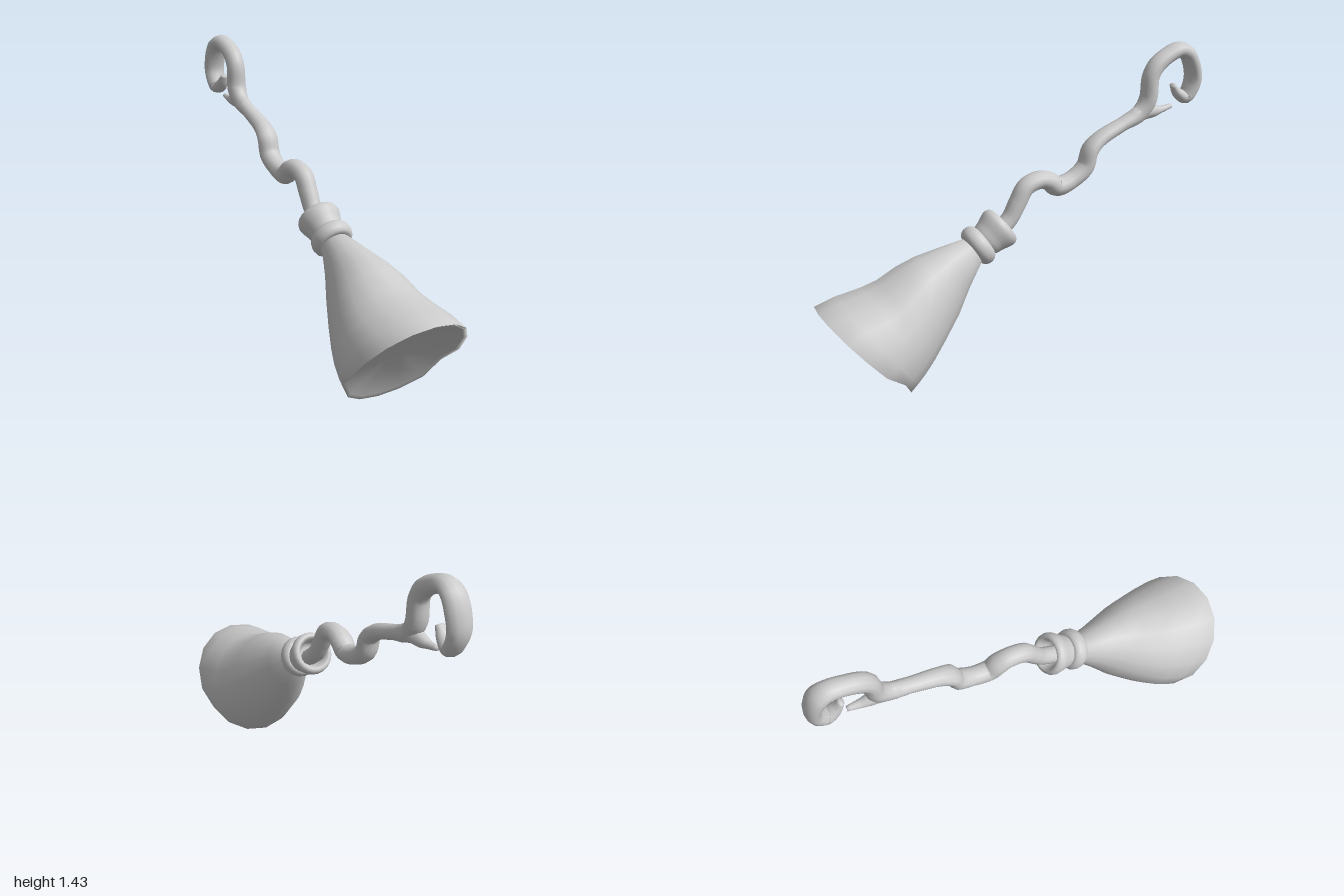
import * as THREE from 'three';

const material = new THREE.MeshStandardMaterial({ color: 0xcccccc, side: THREE.DoubleSide });
const X = new THREE.Vector3(1, 0, 0);

// Smooth closed skin through a list of equal-sized point rings.
function loft(name, rings) {
  const n = rings[0].length, pos = [], index = [];
  rings.forEach(r => r.forEach(p => pos.push(p.x, p.y, p.z)));
  for (let i = 0; i < rings.length - 1; i++) {
    for (let j = 0; j < n; j++) {
      const a = i * n + j, b = i * n + (j + 1) % n;
      index.push(a, b, a + n, b, b + n, a + n);
    }
  }
  const cap = (i, flip) => {
    const c = new THREE.Vector3();
    rings[i].forEach(p => c.addScaledVector(p, 1 / n));
    const k = pos.length / 3;
    pos.push(c.x, c.y, c.z);
    for (let j = 0; j < n; j++) {
      const a = i * n + j, b = i * n + (j + 1) % n;
      if (flip) index.push(b, a, k); else index.push(a, b, k);
    }
  };
  cap(0, true);
  cap(rings.length - 1, false);
  const g = new THREE.BufferGeometry();
  g.setAttribute('position', new THREE.Float32BufferAttribute(pos, 3));
  g.setIndex(index);
  g.computeVertexNormals();
  const mesh = new THREE.Mesh(g, material);
  mesh.name = name;
  return mesh;
}

// Elliptical ring around a centre, half-width w along x and half-axis vector up.
function ellipse(center, w, up, sides) {
  return Array.from({ length: sides }, (_, j) => {
    const a = j / sides * Math.PI * 2;
    return center.clone().addScaledVector(X, w * Math.cos(a)).addScaledVector(up, Math.sin(a));
  });
}

// Swept limb in the x = 0 plane; each point is [z, y, radius in plane, radius along x].
function limb(name, pts, steps, sides) {
  const path = new THREE.CatmullRomCurve3(pts.map(p => new THREE.Vector3(0, p[1], p[0])), false, 'centripetal');
  const rings = [];
  for (let i = 0; i <= steps; i++) {
    const t = i / steps, f = t * (pts.length - 1);
    const k = Math.min(Math.floor(f), pts.length - 2);
    const r = THREE.MathUtils.lerp(pts[k][2], pts[k + 1][2], f - k);
    const w = THREE.MathUtils.lerp(pts[k][3], pts[k + 1][3], f - k);
    const up = path.getTangent(t).cross(X).normalize().multiplyScalar(r);
    rings.push(ellipse(path.getPoint(t), w, up, sides));
  }
  return loft(name, rings);
}

// Turned part whose axis points up the handle.
function turned(name, z, y, axis, profile) {
  const curve = new THREE.SplineCurve(profile.map(p => new THREE.Vector2(...p)));
  const mesh = new THREE.Mesh(new THREE.LatheGeometry(curve.getPoints(24), 20), material);
  mesh.name = name;
  mesh.position.set(0, y, z);
  mesh.quaternion.setFromUnitVectors(new THREE.Vector3(0, 1, 0), axis.normalize());
  return mesh;
}

export function createModel() {
  const group = new THREE.Group();
  group.name = 'broom';

  // Bristle bundle: [top z, top y, bottom z, bottom y, half-width]
  const sides = 16;
  const rings = [
    [0.29, 0.655, 0.21, 0.545, 0.065],
    [0.41, 0.636, 0.285, 0.425, 0.106],
    [0.52, 0.615, 0.355, 0.30, 0.153],
    [0.61, 0.58, 0.44, 0.195, 0.198],
    [0.70, 0.53, 0.50, 0.125, 0.23],
    [0.78, 0.508, 0.545, 0.075, 0.252],
    [0.90, 0.492, 0.58, 0.035, 0.27],
    [1.0, 0.465, 0.61, 0.003, 0.277],
  ].map(([tz, ty, bz, by, w]) => ellipse(
    new THREE.Vector3(0, (ty + by) / 2, (tz + bz) / 2), w,
    new THREE.Vector3(0, (ty - by) / 2, (tz - bz) / 2), sides));
  const inward = new THREE.Vector3(0, 0.65, -0.76);

  // Small notch on each lower side of the rim
  const rim = rings[rings.length - 1];
  [9, 15].forEach(j => rim[j].addScaledVector(inward, 0.02));

  // Shallow dished end of the bristles: [scale, depth]
  const center = new THREE.Vector3(0, 0.234, 0.805);
  const dish = [[0.94, 0.006], [0.8, 0.02], [0.55, 0.035], [0.28, 0.042]].map(([s, d]) =>
    rim.map(p => p.clone().sub(center).multiplyScalar(s).add(center).addScaledVector(inward, d)));
  group.add(loft('bristles', [...rings, ...dish]));

  // Binding ring and flared collar
  group.add(turned('bindingRing', 0.222, 0.615, new THREE.Vector3(0, 0.49, -0.87), [
    [0.05, -0.035], [0.08, -0.036], [0.097, -0.015], [0.097, 0.015], [0.08, 0.036], [0.05, 0.035]]));
  group.add(turned('collar', 0.165, 0.643, new THREE.Vector3(0, 0.56, -0.83), [
    [0.06, -0.045], [0.077, -0.025], [0.086, 0.01], [0.097, 0.04], [0.102, 0.065],
    [0.094, 0.086], [0.077, 0.092], [0.063, 0.07], [0.048, 0.035], [0.01, 0.025]]));

  // Crooked handle ending in a curled hook
  group.add(limb('handle', [
    [0.18, 0.615, 0.04, 0.042], [0.06, 0.71, 0.04, 0.042], [0.015, 0.785, 0.042, 0.045],
    [-0.03, 0.855, 0.042, 0.046], [-0.105, 0.876, 0.042, 0.048], [-0.155, 0.858, 0.045, 0.052],
    [-0.195, 0.825, 0.047, 0.05], [-0.28, 0.843, 0.042, 0.046], [-0.352, 0.895, 0.042, 0.052],
    [-0.378, 0.975, 0.037, 0.053], [-0.43, 1.02, 0.036, 0.045], [-0.556, 1.072, 0.033, 0.038],
    [-0.655, 1.112, 0.042, 0.04], [-0.70, 1.175, 0.042, 0.05], [-0.71, 1.285, 0.041, 0.046],
    [-0.74, 1.335, 0.042, 0.045], [-0.80, 1.375, 0.039, 0.045], [-0.868, 1.396, 0.037, 0.048],
    [-0.912, 1.378, 0.036, 0.055], [-0.945, 1.325, 0.036, 0.058], [-0.963, 1.25, 0.035, 0.056],
    [-0.952, 1.20, 0.035, 0.052], [-0.92, 1.155, 0.033, 0.045],
    [-0.875, 1.18, 0.025, 0.032], [-0.842, 1.225, 0.013, 0.018]], 144, 12));

  // Short broken twig below the hook
  group.add(limb('twig', [
    [-0.58, 1.083, 0.03, 0.034], [-0.665, 1.115, 0.042, 0.04],
    [-0.735, 1.111, 0.031, 0.03], [-0.78, 1.112, 0.018, 0.022], [-0.838, 1.12, 0.011, 0.013]], 20, 10));

  return group;
}
